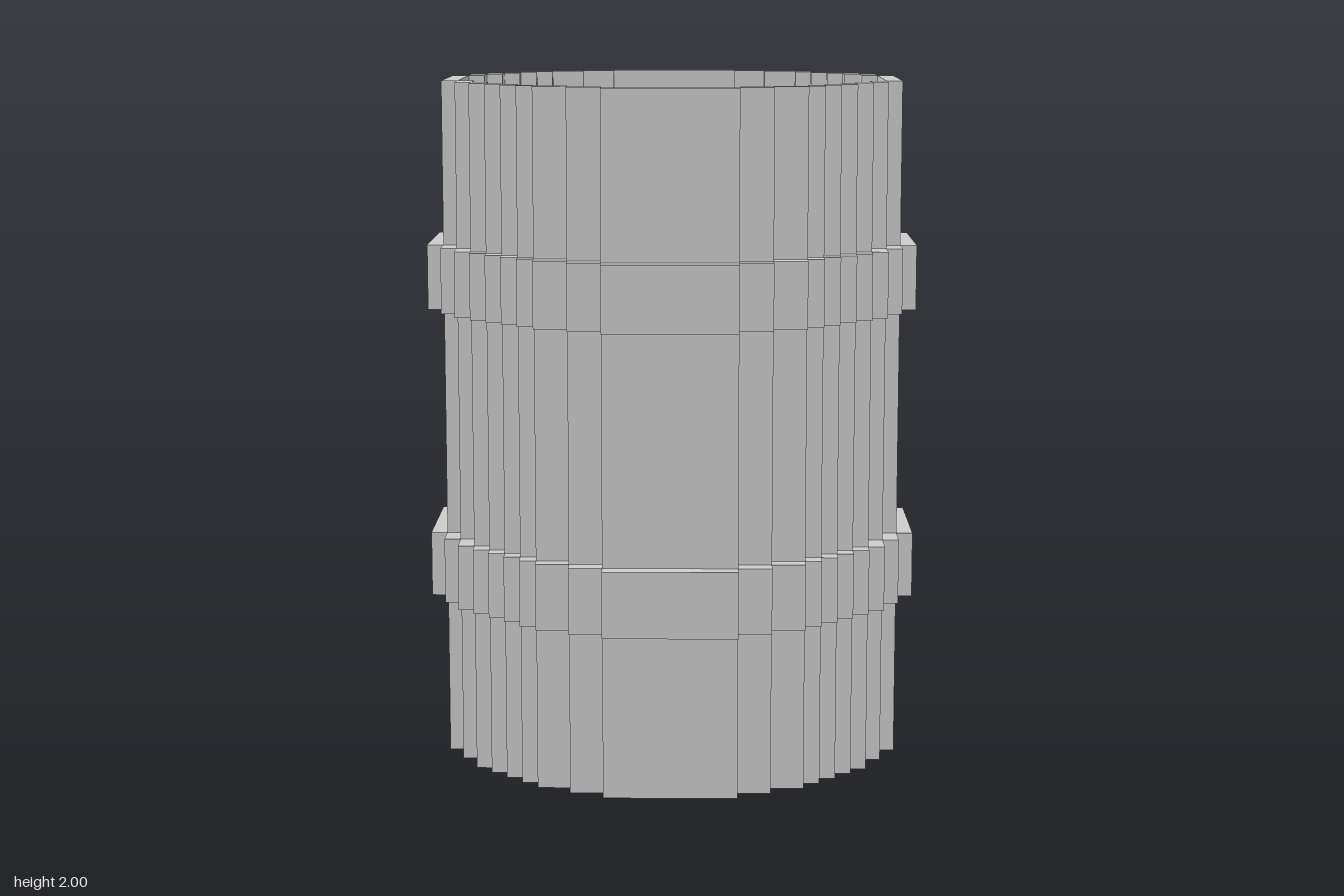
import * as THREE from 'three';

const U = 2 / 42; // one voxel

// Stepped round outlines: corners [x, z] of one quadrant, in voxels
const OUTLINES = {
  band: [[15, 4], [14, 6], [13, 8], [12, 9], [11, 10], [10, 11], [9, 12], [8, 13], [6, 14], [4, 15]],
  body: [[14, 4], [13, 6], [12, 8], [11, 9], [10, 10], [9, 11], [8, 12], [6, 13], [4, 14]],
  inner: [[13, 4], [12, 6], [11, 8], [10, 9], [9, 10], [8, 11], [6, 12], [4, 13]],
};

// Full closed outline from the quadrant corners
function ringPoints(corners) {
  const quarter = [];
  corners.forEach(([x, z], i) => {
    if (i > 0) quarter.push([x, corners[i - 1][1]]);
    quarter.push([x, z]);
  });
  const points = [];
  for (let q = 0, part = quarter; q < 4; q++) {
    points.push(...part);
    part = part.map(([x, z]) => [-z, x]);
  }
  return points;
}

// Half width of an outline in the voxel row centred on z
function halfWidth(corners, z) {
  return Math.max(0, ...corners.filter((c) => c[1] > Math.abs(z)).map((c) => c[0]));
}

function quad(out, a, b, c, d, flip) {
  const order = flip ? [a, c, b, a, d, c] : [a, b, c, a, c, d];
  for (const p of order) out.push(p[0] * U, p[1] * U, p[2] * U);
}

// Upright wall along an outline, facing outward or inward
function wall(out, corners, y0, y1, inward = false) {
  const pts = ringPoints(corners);
  pts.forEach(([ax, az], i) => {
    const [bx, bz] = pts[(i + 1) % pts.length];
    quad(out, [ax, y0, az], [ax, y1, az], [bx, y1, bz], [bx, y0, bz], inward);
  });
}

// Level face between two outlines (or a full disc), facing up or down
function level(out, outer, inner, y, down = false) {
  for (let z = -15; z < 15; z++) {
    const w = halfWidth(outer, z + 0.5);
    const v = inner ? halfWidth(inner, z + 0.5) : 0;
    if (w <= v) continue;
    const spans = v > 0 ? [[-w, -v], [v, w]] : [[-w, w]];
    for (const [x0, x1] of spans) {
      quad(out, [x0, y, z], [x0, y, z + 1], [x1, y, z + 1], [x1, y, z], down);
    }
  }
}

export function createModel() {
  const group = new THREE.Group();
  const material = new THREE.MeshStandardMaterial({ color: 0xcccccc, flatShading: true });
  const { band, body, inner } = OUTLINES;

  function add(name, build) {
    const positions = [];
    build(positions);
    const geometry = new THREE.BufferGeometry();
    geometry.setAttribute('position', new THREE.Float32BufferAttribute(positions, 3));
    geometry.computeVertexNormals();
    const mesh = new THREE.Mesh(geometry, material);
    mesh.name = name;
    group.add(mesh);
  }

  // Barrel side with its raised rims at both ends
  add('barrelBody', (out) => wall(out, body, 0, 42));
  add('topRim', (out) => {
    level(out, body, inner, 42);
    wall(out, inner, 40, 42, true);
  });
  add('bottomRim', (out) => {
    level(out, body, inner, 0, true);
    wall(out, inner, 0, 1, true);
  });

  // Recessed ends: the lid sits deeper than the base
  add('lid', (out) => level(out, inner, null, 40));
  add('base', (out) => level(out, inner, null, 1, true));

  // Two hoops around the body
  for (const [name, y] of [['lowerHoop', 10], ['upperHoop', 28]]) {
    add(name, (out) => {
      wall(out, band, y, y + 4);
      level(out, band, body, y + 4);
      level(out, band, body, y, true);
    });
  }
  return group;
}
